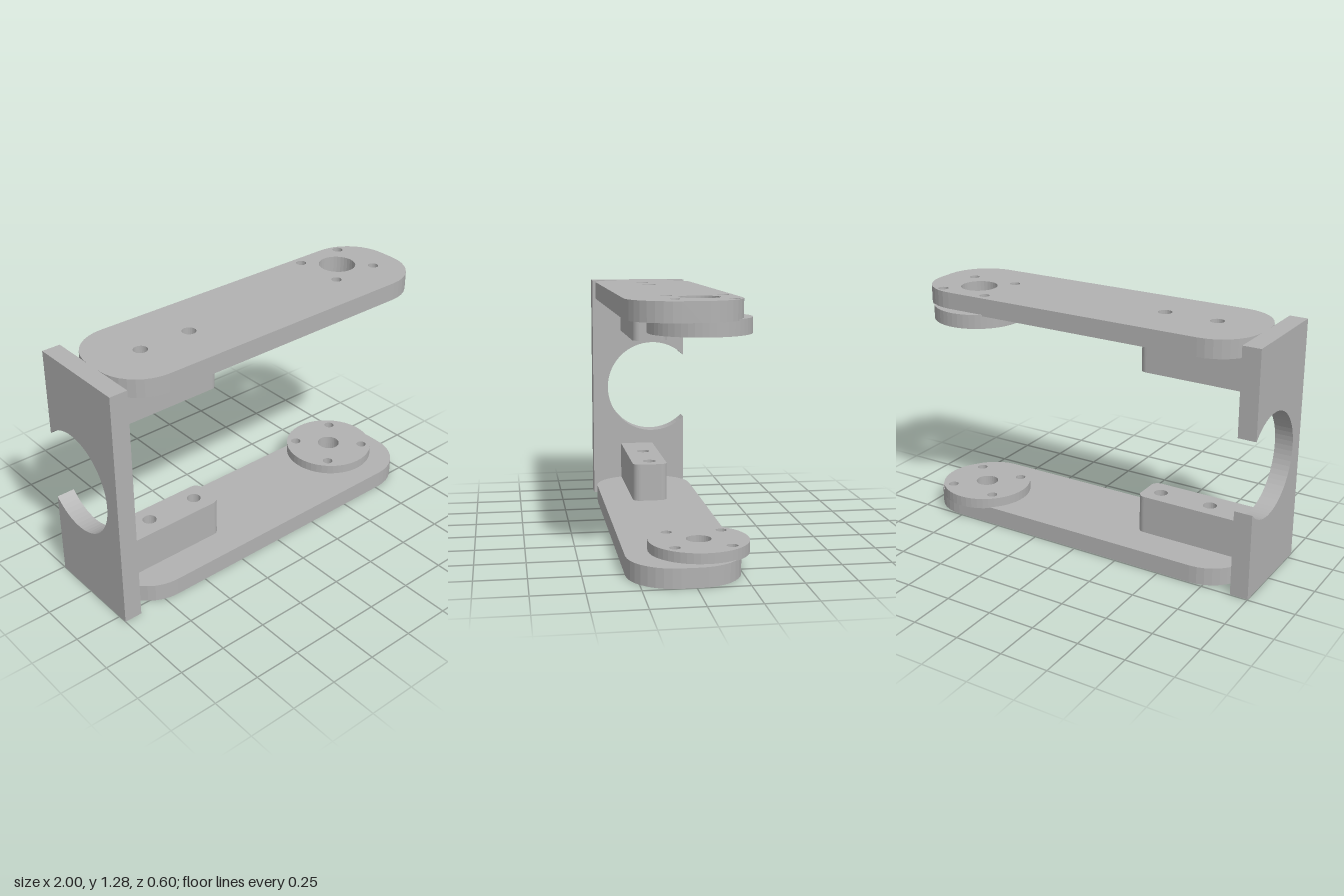
import * as THREE from 'three';

const HEIGHT = 1.285, ARM = 0.095, BACK = -0.245, FRONT = 0.3, INNER = -0.905;
const PIVOT = [0.71, -0.057];

// Points along an arc, angles in radians
function arc(cx, cy, r, a0, a1, n) {
  return Array.from({ length: n + 1 }, (_, i) => {
    const a = a0 + (a1 - a0) * i / n;
    return new THREE.Vector2(cx + r * Math.cos(a), cy + r * Math.sin(a));
  });
}

const circle = (x, z, r, n = 32) => arc(x, -z, r, 0, Math.PI * 2, n).slice(0, -1);

// Rectangle in x/z with separate corner radii for the two x ends
function roundedOutline(x0, x1, z0, z1, rLeft, rRight) {
  const q = Math.PI / 2, pts = [];
  const corner = (x, z, sx, sz, r, a) => {
    if (r) pts.push(...arc(x - sx * r, -z - sz * r, r, a, a + q, 9));
    else pts.push(new THREE.Vector2(x, -z));
  };
  corner(x1, z1, 1, -1, rRight, -q);
  corner(x1, z0, 1, 1, rRight, 0);
  corner(x0, z0, -1, 1, rLeft, q);
  corner(x0, z1, -1, -1, rLeft, 2 * q);
  return pts;
}

// Upright prism from y0 to y1 with vertical holes
function prism(outline, holes, y0, y1) {
  const shape = new THREE.Shape(outline);
  holes.forEach(h => shape.holes.push(new THREE.Path(h)));
  return new THREE.ExtrudeGeometry(shape, { depth: y1 - y0, bevelEnabled: false })
    .rotateX(-Math.PI / 2).translate(0, y0, 0);
}

export function createModel() {
  const group = new THREE.Group();
  const grey = new THREE.MeshStandardMaterial({ color: 0xb2b2b2 });
  grey.name = 'plain grey';
  const add = (name, geometry) => {
    const mesh = new THREE.Mesh(geometry, grey);
    mesh.name = name;
    group.add(mesh);
  };

  // End plate with a round cut-out open towards the back
  const cy = 0.645, cz = -0.055, r = 0.268;
  const a = Math.acos((BACK - cz) / r);
  const plate = new THREE.Shape([
    new THREE.Vector2(BACK, 0), new THREE.Vector2(FRONT, 0),
    new THREE.Vector2(FRONT, HEIGHT), new THREE.Vector2(BACK, HEIGHT),
    ...arc(cz, cy, r, a, -a, 48),
  ]);
  add('endPlate', new THREE.ExtrudeGeometry(plate, { depth: 1 + INNER, bevelEnabled: false })
    .rotateY(-Math.PI / 2).translate(INNER, 0, 0));

  // Hole patterns shared by the arms, blocks and discs
  const boltHoles = [-0.645, -0.36].map(x => circle(x, 0.035, 0.036, 24));
  const screwHoles = [];
  for (const sx of [-1, 1]) for (const sz of [-1, 1])
    screwHoles.push(circle(PIVOT[0] + sx * 0.135, PIVOT[1] + sz * 0.135, 0.027, 20));
  const smallBore = circle(...PIVOT, 0.061), largeBore = circle(...PIVOT, 0.097);

  // Arms
  const arm = roundedOutline(INNER, 1, BACK, FRONT, 0.228, 0.228);
  add('lowerArm', prism(arm, [...boltHoles, ...screwHoles, smallBore], 0, ARM));
  add('upperArm', prism(arm, [...boltHoles, ...screwHoles, largeBore], HEIGHT - ARM, HEIGHT));

  // Mounting blocks against the end plate
  const block = roundedOutline(INNER, -0.268, -0.055, 0.135, 0, 0.04);
  add('lowerBlock', prism(block, boltHoles, ARM, 0.3));
  add('upperBlock', prism(block, boltHoles, 0.987, HEIGHT - ARM));

  // Pivot discs, let slightly into the arms
  const disc = circle(...PIVOT, 0.243, 48);
  add('lowerDisc', prism(disc, [...screwHoles, smallBore], 0.09, 0.146));
  add('upperDisc', prism(disc, [largeBore], 1.122, 1.197));

  return group;
}
